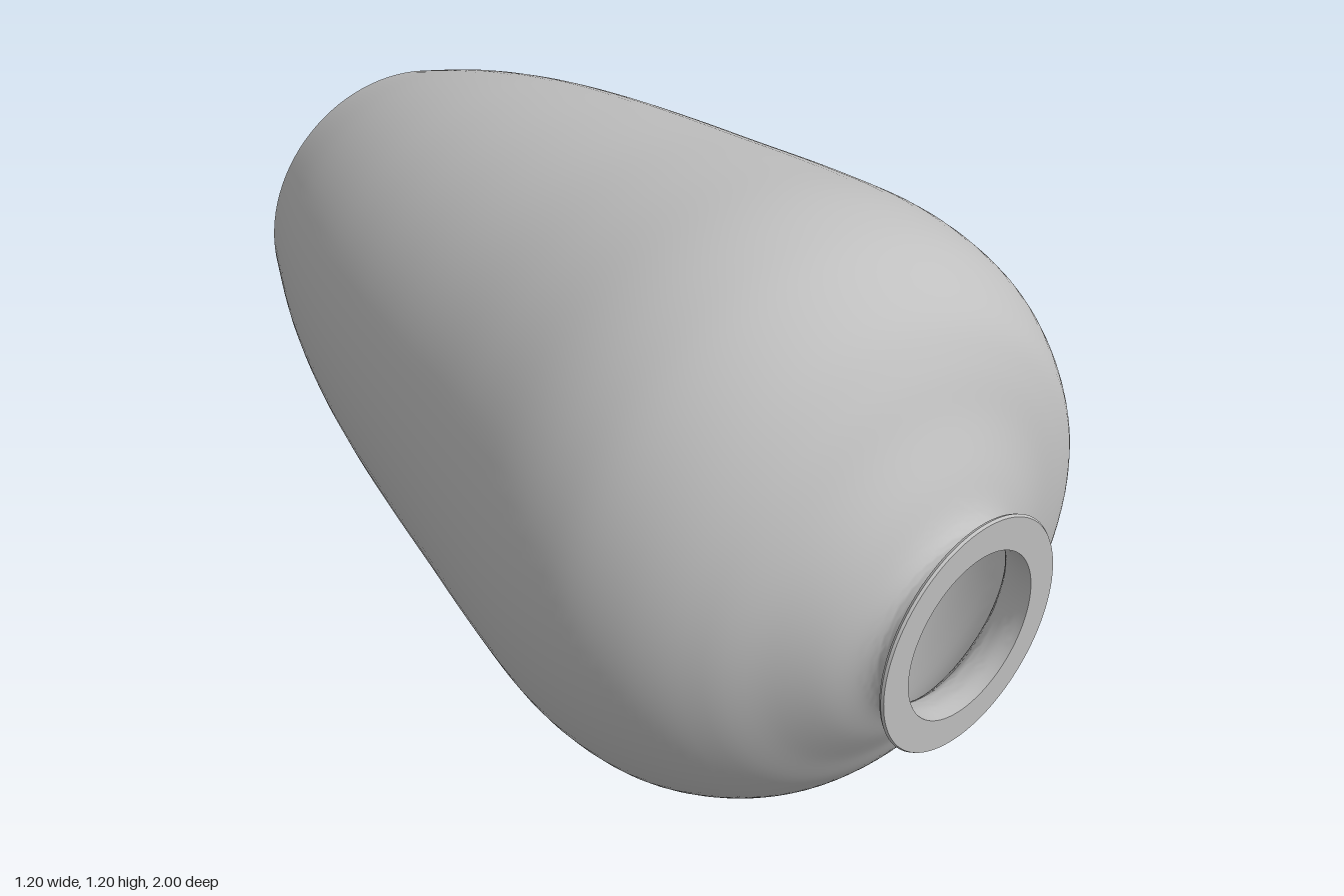
import * as THREE from 'three';
import { toCreasedNormals } from 'three/addons/utils/BufferGeometryUtils.js';

const SEGMENTS = 96;
const clay = new THREE.MeshStandardMaterial({ color: 0xbfbfbf });
clay.name = 'grey clay';

// Smooth curve through [radius, z] points
function smooth(points, divisions) {
  const curve = new THREE.SplineCurve(points.map(([r, z]) => new THREE.Vector2(r, z)));
  return curve.getPoints(divisions);
}

const straight = (points) => points.map(([r, z]) => new THREE.Vector2(r, z));

// Tilt the mouth: the neck end shears towards the left side
function tiltMouth(geometry) {
  const p = geometry.attributes.position;
  for (let i = 0; i < p.count; i++) {
    const x = p.getX(i), z = p.getZ(i);
    const t = THREE.MathUtils.smoothstep(z, 0.7, 0.92);
    p.setX(i, x + 0.015 * t);
    p.setZ(i, z - x * 0.155 * t);
  }
}

// Revolve a profile around the z axis
function turned(name, profile, crease) {
  const lathe = new THREE.LatheGeometry(profile, SEGMENTS);
  lathe.rotateX(Math.PI / 2);
  tiltMouth(lathe);
  const mesh = new THREE.Mesh(toCreasedNormals(lathe, crease), clay);
  mesh.name = name;
  mesh.position.y = 0.602;
  return mesh;
}

export function createModel() {
  const group = new THREE.Group();
  group.name = 'vase';

  // Flat foot at the back
  group.add(turned('foot', straight([[0, -1], [0.345, -1]]), 0.5));

  // Outer wall from foot to neck
  const wall = [
    [0.345, -1], [0.415, -0.8], [0.468, -0.6], [0.506, -0.4], [0.535, -0.2],
    [0.56, 0], [0.585, 0.2], [0.6, 0.38], [0.59, 0.51], [0.56, 0.61],
    [0.5, 0.705], [0.425, 0.765], [0.34, 0.81], [0.265, 0.853],
    [0.205, 0.883], [0.18, 0.905], [0.177, 0.925],
  ];
  group.add(turned('body', smooth(wall, 96), 1.2));

  // Thin flared lip
  group.add(turned('lip', straight([
    [0.177, 0.925], [0.182, 0.936], [0.2, 0.945], [0.225, 0.951],
    [0.228, 0.957], [0.225, 0.962], [0.163, 0.962],
  ]), 0.6));

  // Inner wall and floor
  const inside = [
    [0.163, 0.962], [0.163, 0.915], [0.19, 0.872], [0.325, 0.79], [0.48, 0.69],
    [0.55, 0.58], [0.58, 0.38], [0.54, 0], [0.486, -0.4], [0.395, -0.8], [0.333, -0.97],
  ];
  group.add(turned('innerWall', smooth(inside, 60), 1.2));
  group.add(turned('innerFloor', straight([[0.333, -0.97], [0, -0.97]]), 0.5));

  return group;
}
